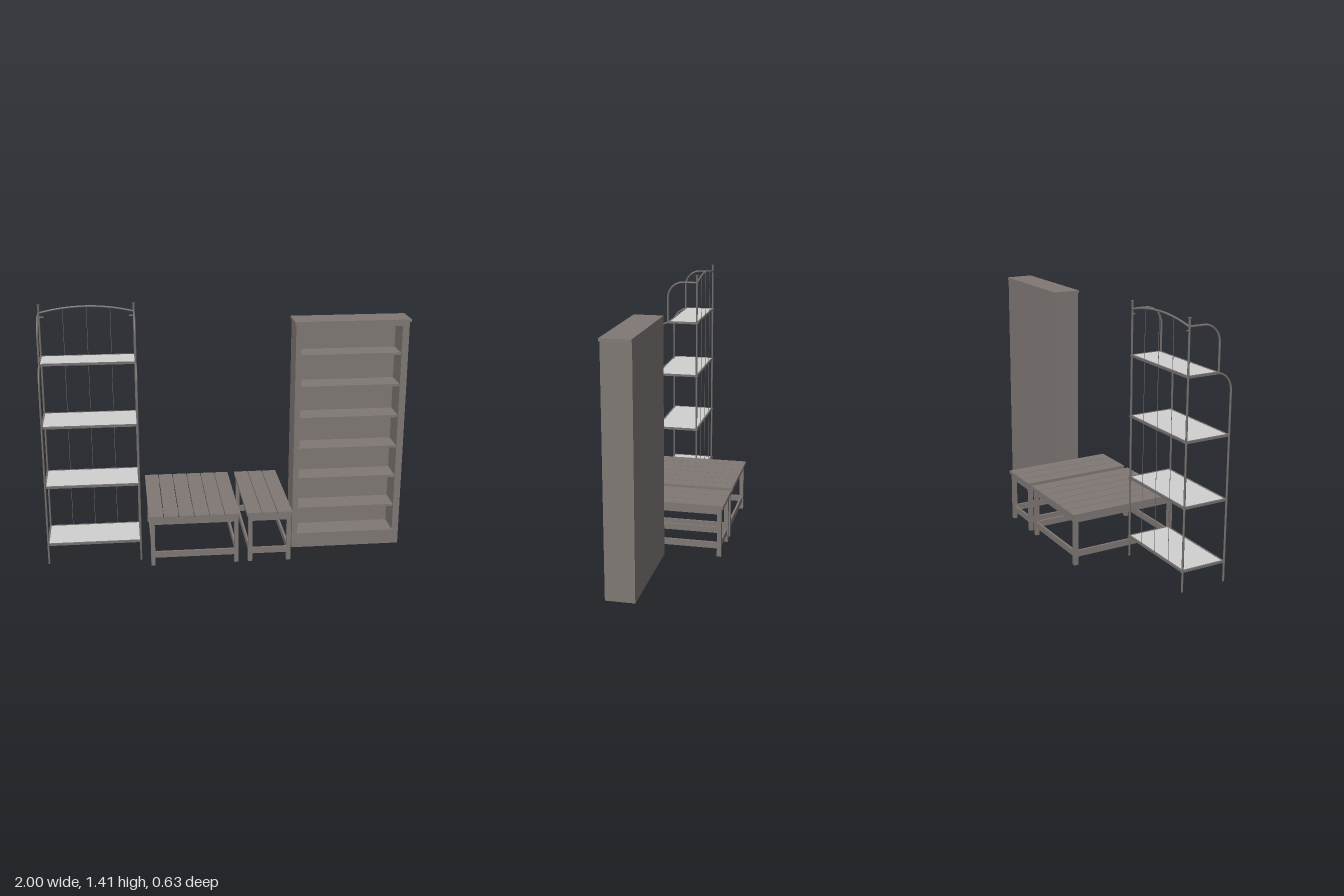
import * as THREE from 'three';

const mat = (name, color) => {
  const m = new THREE.MeshStandardMaterial({ color });
  m.name = name;
  return m;
};

export function createModel() {
  const wood = mat('greyBrownWood', 0x7f7875);
  const metal = mat('darkMetal', 0x74706e);
  const panel = mat('paleShelfPanel', 0xd0d0d0);
  const model = new THREE.Group();
  model.name = 'furnitureSet';

  const group = (name) => {
    const g = new THREE.Group();
    g.name = name;
    model.add(g);
    return g;
  };
  const add = (parent, name, geo, material) => {
    const m = new THREE.Mesh(geo, material);
    m.name = name;
    parent.add(m);
    return m;
  };
  // Box given by its minimum and maximum on each axis
  const box = (parent, name, material, x0, x1, y0, y1, z0, z1) => {
    const m = add(parent, name, new THREE.BoxGeometry(x1 - x0, y1 - y0, z1 - z0), material);
    m.position.set((x0 + x1) / 2, (y0 + y1) / 2, (z0 + z1) / 2);
    return m;
  };
  const rod = (parent, name, r, points, segments = 32, sides = 10) => {
    const path = points instanceof THREE.Curve ? points
      : new THREE.LineCurve3(new THREE.Vector3(...points[0]), new THREE.Vector3(...points[1]));
    return add(parent, name, new THREE.TubeGeometry(path, segments, r, sides), metal);
  };

  // Bookcase: frame with stiles, back board, cap and recessed shelves
  const bookcase = group('bookcase');
  const [bx0, bx1, bh, bd] = [0.372, 0.99, 1.3, 0.155];
  box(bookcase, 'rightSide', wood, bx0, 0.403, 0, bh, 0, bd);
  box(bookcase, 'leftSide', wood, 0.953, bx1, 0, bh, 0, bd);
  box(bookcase, 'backBoard', wood, 0.403, 0.953, 0, bh, 0, 0.01);
  box(bookcase, 'plinth', wood, 0.403, 0.953, 0, 0.085, 0.01, bd);
  box(bookcase, 'topRail', wood, 0.403, 0.953, 1.28, bh, 0.01, bd);
  box(bookcase, 'cap', wood, 0.365, 1, bh, 1.315, 0, 0.158);
  for (const y of [0.227, 0.406, 0.582, 0.761, 0.94, 1.117]) {
    box(bookcase, 'shelf', wood, 0.403, 0.953, y, y + 0.013, 0.01, 0.148);
  }

  // Slatted table: legs, aprons and low stretchers around the edge
  const table = (name, x0, x1, slats) => {
    const g = group(name);
    const step = (x1 - x0) / slats;
    for (let i = 0; i < slats; i++) {
      box(g, 'slat', wood, x0 + i * step + 0.002, x0 + (i + 1) * step - 0.002, 0.276, 0.293, -0.317, 0.315);
    }
    const [lx0, lx1, lz, w, t] = [x0 + 0.011, x1 - 0.007, 0.307, 0.023, 0.012];
    for (const x of [lx0, lx1 - w]) {
      for (const z of [-lz, lz - w]) box(g, 'leg', wood, x, x + w, 0, 0.276, z, z + w);
    }
    for (const [part, y0, y1] of [['apron', 0.241, 0.276], ['stretcher', 0.045, 0.08]]) {
      for (const x of [lx0 + 0.004, lx1 - 0.004 - t]) {
        box(g, 'side' + part, wood, x, x + t, y0, y1, -lz + w, lz - w);
      }
      for (const z of [-lz + 0.004, lz - 0.004 - t]) {
        box(g, 'cross' + part, wood, lx0 + w, lx1 - w, y0, y1, z, z + t);
      }
    }
  };
  table('wideTable', -0.444, 0.056, 6);
  table('narrowTable', 0.092, 0.347, 3);

  // Metal rack
  const rack = group('metalRack');
  const [xl, xr, r] = [-0.99, -0.486, 0.0055];
  const xm = (xl + xr) / 2;

  // Upright that bends backwards at the top and runs to a rear post
  const bentRod = (x, z, y0, y1, bend, zEnd) => {
    const v = (y, zz) => new THREE.Vector3(x, y, zz);
    const path = new THREE.CurvePath();
    const k = 0.45 * bend;
    path.add(new THREE.LineCurve3(v(y0, z), v(y1 - bend, z)));
    path.add(new THREE.CubicBezierCurve3(v(y1 - bend, z), v(y1 - k, z), v(y1, z - k), v(y1, z - bend)));
    path.add(new THREE.LineCurve3(v(y1, z - bend), v(y1, zEnd)));
    return path;
  };
  for (const [x, inward] of [[xl, 1], [xr, -1]]) {
    rod(rack, 'rearPost', r, [[x, 0.015, 0], [x, 1.4, 0]], 1);
    const finial = add(rack, 'finial', new THREE.CylinderGeometry(0.009, 0.006, 0.012, 12), metal);
    finial.position.set(x, 1.4, 0);
    const foot = add(rack, 'rearFoot', new THREE.CylinderGeometry(r, r, 0.004, 10), metal);
    foot.position.set(x, 0.015, 0);
    rod(rack, 'frontUpright', r, bentRod(x, 0.253, 0.015, 1.12, 0.095, 0), 60);
    rod(rack, 'upperSideArch', r, bentRod(x, 0.176, 1.12, 1.362, 0.095, 0), 60);
    rod(rack, 'hook', 0.004, [[x, 1.338, 0.004], [x + inward * 0.025, 1.338, 0.004]], 1);
  }

  // Shelves: pale panel in a thin frame with a middle bar beneath
  for (const [y, depth] of [[0.125, 0.245], [0.46, 0.245], [0.797, 0.245], [1.12, 0.168]]) {
    const s = new THREE.Group();
    s.name = 'rackShelf';
    rack.add(s);
    box(s, 'shelfPanel', panel, xl, xr, y - 0.001, y + 0.005, 0, depth);
    for (const z of [0, depth]) box(s, 'longBar', metal, xl, xr, y - 0.006, y + 0.006, z - 0.005, z + 0.005);
    for (const x of [xl, xm, xr]) {
      box(s, 'crossBar', metal, x - 0.005, x + 0.005, y - 0.006, x === xm ? y - 0.001 : y + 0.006, 0, depth);
    }
    for (const x of [xl, xr]) box(s, 'bolt', metal, x - 0.004, x + 0.004, y - 0.004, y + 0.004, -0.01, 0);
  }

  // Curved top rail and the thin vertical wires of the back
  const rail = new THREE.QuadraticBezierCurve3(
    new THREE.Vector3(xl, 1.36, 0), new THREE.Vector3(xm, 1.424, 0), new THREE.Vector3(xr, 1.36, 0));
  rod(rack, 'topRail', r, rail);
  for (const t of [0.25, 0.5, 0.75]) {
    const p = rail.getPoint(t);
    rod(rack, 'backWire', 0.0015, [[p.x, 0.125, -0.003], [p.x, p.y, -0.003]], 1, 6);
  }
  return model;
}
